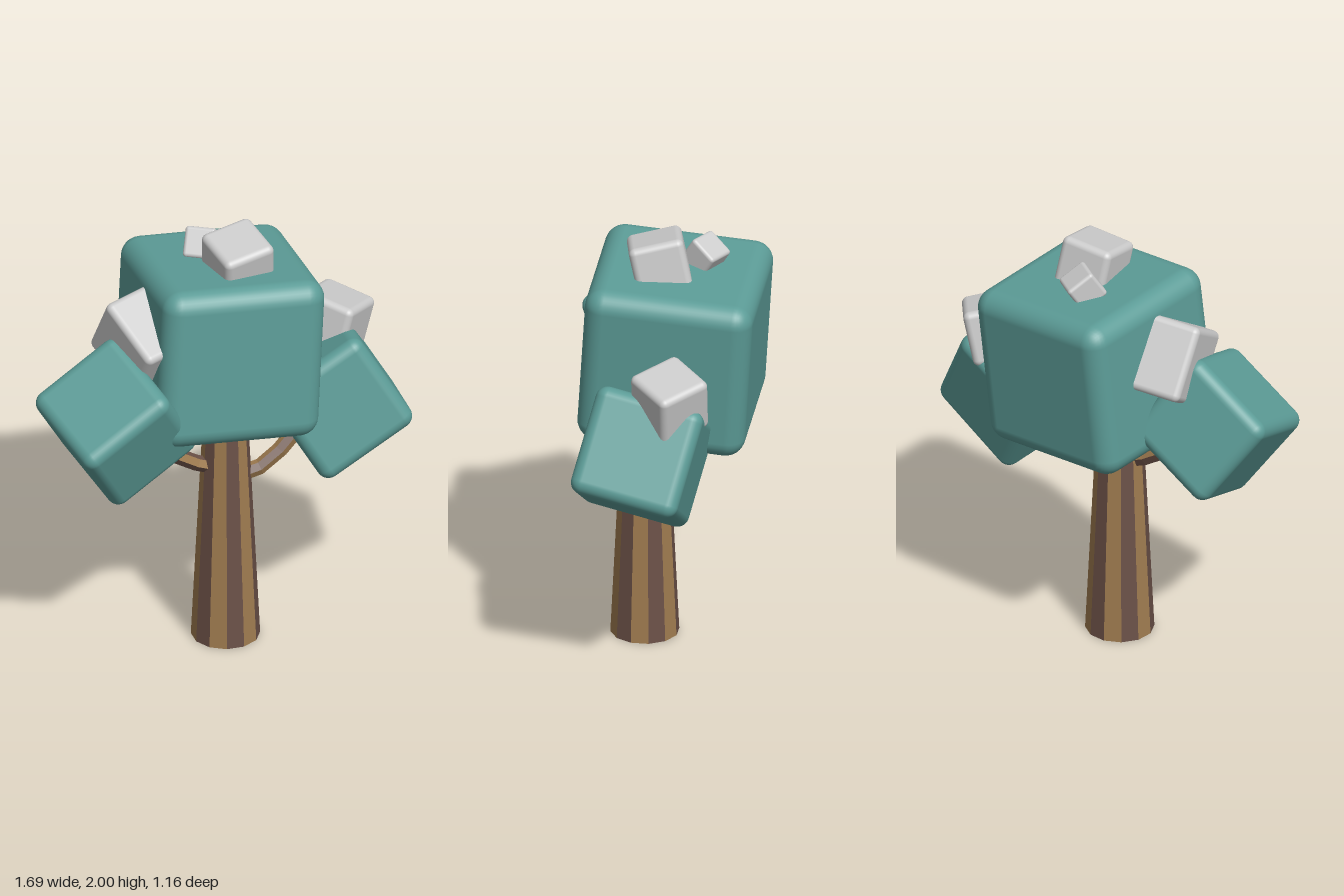
import * as THREE from 'three';
import { RoundedBoxGeometry } from 'three/addons/geometries/RoundedBoxGeometry.js';

const leaf = new THREE.MeshStandardMaterial({ color: 0x5c9c97 });
const stone = new THREE.MeshStandardMaterial({ color: 0xcccccc });
const barkLight = new THREE.MeshStandardMaterial({ color: 0xa07c50 });
const barkDark = new THREE.MeshStandardMaterial({ color: 0x6b5147 });

// Rounded cube oriented by its own x and z directions
function block(name, material, size, radius, center, xDir, zDir) {
  const mesh = new THREE.Mesh(new RoundedBoxGeometry(size, size, size, 4, radius), material);
  const x = new THREE.Vector3(...xDir).normalize();
  const y = new THREE.Vector3(...zDir).cross(x).normalize();
  const z = new THREE.Vector3().crossVectors(x, y);
  mesh.quaternion.setFromRotationMatrix(new THREE.Matrix4().makeBasis(x, y, z));
  mesh.position.set(...center);
  mesh.name = name;
  return mesh;
}

// Splits a faceted tube or cylinder into alternating light and dark bark strips
function striped(name, geometry, sides) {
  const group = new THREE.Group();
  group.name = name;
  const index = Array.from(geometry.index.array);
  [barkDark, barkLight].forEach((material, parity) => {
    const part = geometry.clone();
    part.setIndex(index.filter((_, k) => (Math.floor(k / 6) % sides) % 2 === parity));
    const flat = part.toNonIndexed();
    flat.computeVertexNormals();
    const mesh = new THREE.Mesh(flat, material);
    mesh.name = name + (parity ? 'LightBark' : 'DarkBark');
    group.add(mesh);
  });
  return group;
}

function branch(name, points) {
  const curve = new THREE.CatmullRomCurve3(points.map((p) => new THREE.Vector3(...p)));
  return striped(name, new THREE.TubeGeometry(curve, 4, 0.036, 6, false), 6);
}

export function createModel() {
  const tree = new THREE.Group();
  tree.name = 'tree';

  // Tapered twelve-sided trunk with a closed foot
  const trunk = striped('trunk', new THREE.CylinderGeometry(0.094, 0.155, 1.25, 12, 1, true), 12);
  trunk.position.set(0.01, 0.625, 0.035);
  const foot = new THREE.Mesh(new THREE.CircleGeometry(0.155, 12), barkLight);
  foot.name = 'trunkFoot';
  foot.rotation.x = Math.PI / 2;
  foot.position.y = -0.625;
  trunk.add(foot);
  tree.add(trunk);

  // Branches reaching into the side foliage
  tree.add(branch('leftBranch', [[0.05, 0.8, 0.03], [0.2, 0.85, 0], [0.31, 0.96, -0.05], [0.42, 1.06, -0.1]]));
  tree.add(branch('rightBranch', [[-0.02, 0.86, 0.05], [-0.15, 0.92, 0.1], [-0.27, 1.01, 0.15], [-0.4, 1.12, 0.2]]));

  // Foliage cubes
  tree.add(
    block('crownFoliage', leaf, 0.76, 0.09, [-0.01, 1.445, -0.105], [0.966, -0.07, -0.259], [0.259, 0.07, 0.966]),
    block('leftFoliage', leaf, 0.5, 0.055, [0.495, 1.097, -0.168], [0.36, 0.22, -0.1], [0.07, 0.08, 0.42]),
    block('rightFoliage', leaf, 0.48, 0.055, [-0.49, 1.205, 0.23], [0.33, 0.22, -0.12], [0.23, -0.12, 0.32])
  );

  // Grey blocks resting on the foliage
  tree.add(
    block('topBlock', stone, 0.25, 0.03, [0.07, 1.85, -0.065], [0.22, 0.03, -0.11], [0.1, -0.05, 0.21]),
    block('smallTopBlock', stone, 0.14, 0.016, [-0.085, 1.855, -0.22], [0.12, 0, 0.03], [-0.03, 0.07, 0.1]),
    block('leftBlock', stone, 0.26, 0.03, [0.505, 1.4, -0.305], [0.2, -0.04, 0.12], [-0.11, 0.05, 0.23]),
    block('rightBlock', stone, 0.35, 0.03, [-0.33, 1.53, 0.05], [0.82, 0.12, -0.56], [0.53, -0.51, 0.67])
  );
  return tree;
}
